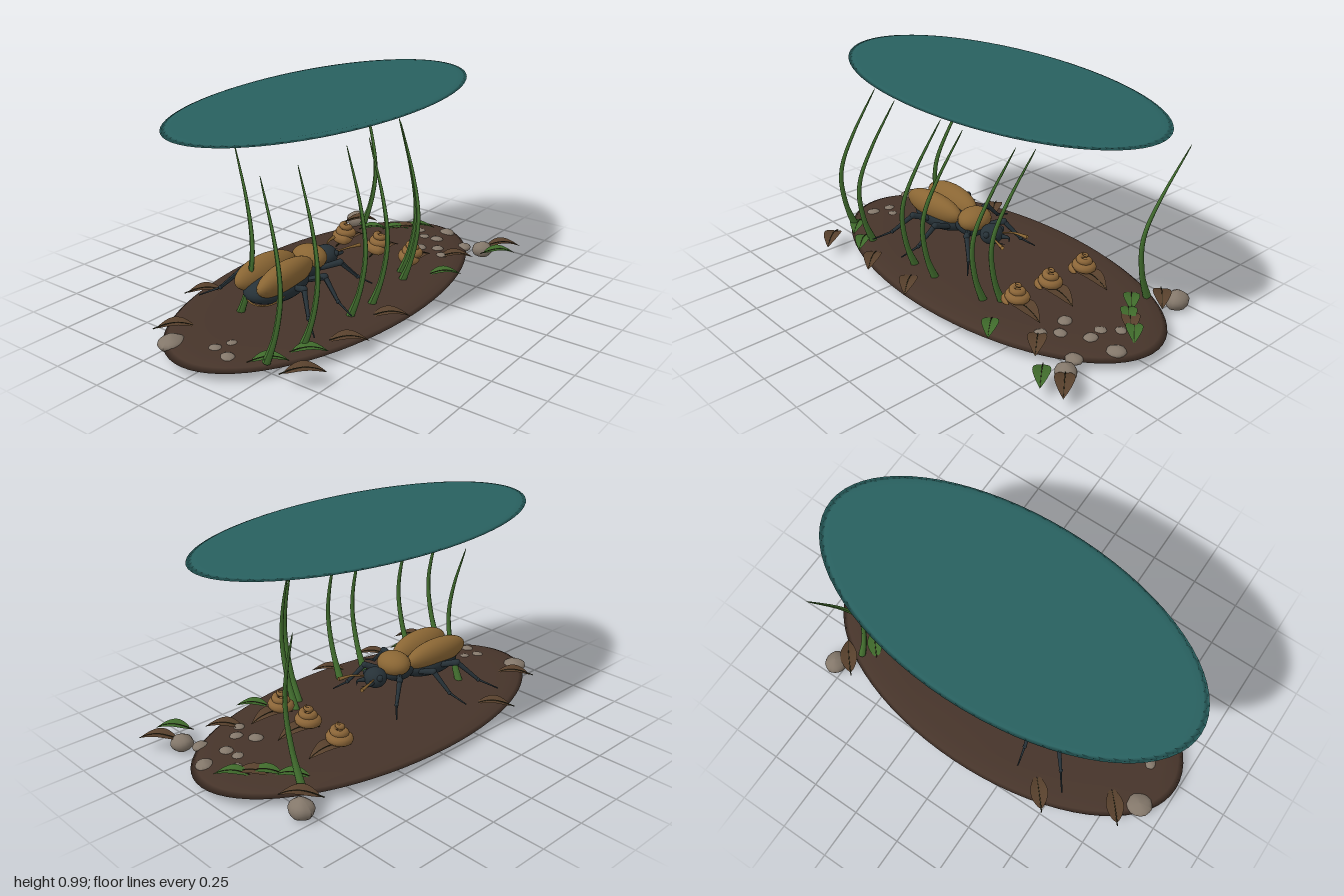
import * as THREE from 'three';

const CX = -0.03; // shared centre line of ground, water and beetle
const mat = (color) => new THREE.MeshStandardMaterial({ color, side: THREE.DoubleSide });
const M = {
  soil: mat(0x46342a), water: mat(0x28605f), grass: mat(0x43702f), shell: mat(0x8a6634), dark: mat(0x263137),
  dung: mat(0x8c6638), stone: mat(0x83776a), brown: mat(0x57402c), green: mat(0x3f6a2b), vein: mat(0x2c2a18),
};
const V = (p) => new THREE.Vector3(...p);

function add(parent, name, geo, material, pos = [0, 0, 0], scale = [1, 1, 1], rot = [0, 0, 0]) {
  const m = new THREE.Mesh(geo, material);
  m.name = name;
  m.position.set(...pos);
  m.scale.set(...scale);
  m.rotation.set(...rot);
  parent.add(m);
  return m;
}

// Tube along points whose radius follows radius(t)
function taper(points, radius, seg = 16, sides = 8) {
  const path = new THREE.CatmullRomCurve3(points.map(V));
  const geo = new THREE.TubeGeometry(path, seg, 1, sides);
  const p = geo.attributes.position, v = new THREE.Vector3();
  for (let i = 0; i < p.count; i++) {
    const t = Math.floor(i / (sides + 1)) / seg;
    const c = path.getPointAt(t);
    v.fromBufferAttribute(p, i).sub(c).multiplyScalar(Math.max(radius(t), 0.0005)).add(c);
    p.setXYZ(i, v.x, v.y, v.z);
  }
  geo.computeVertexNormals();
  return geo;
}

// Arched, pointed leaf along +x
function leafGeometry(length = 0.18, width = 0.085, arch = 0.025) {
  const geo = new THREE.PlaneGeometry(1, 1, 14, 6).rotateX(-Math.PI / 2);
  const p = geo.attributes.position;
  for (let i = 0; i < p.count; i++) {
    const t = p.getX(i) + 0.5, s = p.getZ(i) * 2;
    const w = Math.pow(Math.sin(Math.PI * Math.pow(t, 0.85)), 0.9) * width / 2 || 0;
    p.setXYZ(i, (t - 0.5) * length, arch * Math.sin(Math.PI * t) + Math.abs(s) * w * 0.2, s * w);
  }
  geo.computeVertexNormals();
  return geo;
}

const sphere = new THREE.SphereGeometry(1, 28, 18);
const ellipse = (profile) => new THREE.LatheGeometry(profile.map((p) => new THREE.Vector2(...p)), 72);

// Rounded stone with mild bumps
function stoneGeometry() {
  const geo = new THREE.SphereGeometry(1, 16, 12);
  const p = geo.attributes.position;
  for (let i = 0; i < p.count; i++) {
    const x = p.getX(i), y = p.getY(i), z = p.getZ(i);
    const k = 1 + 0.05 * Math.sin(4 * x + 2 * y) * Math.cos(5 * z);
    p.setXYZ(i, x * k, y * k, z * k);
  }
  geo.computeVertexNormals();
  return geo;
}

function beetle() {
  const g = new THREE.Group();
  g.name = 'beetle';
  add(g, 'abdomen', sphere, M.dark, [0, 0.2, 0.385], [0.118, 0.072, 0.185]);
  add(g, 'thorax', sphere, M.dark, [0, 0.21, 0.18], [0.07, 0.055, 0.09]);
  add(g, 'pronotum', sphere, M.shell, [0, 0.25, 0.15], [0.088, 0.058, 0.075]);
  add(g, 'head', sphere, M.dark, [0, 0.215, 0.025], [0.058, 0.05, 0.055]);
  // Bright seam around the rear of the abdomen
  const rim = [];
  for (let i = 0; i <= 12; i++) {
    const a = Math.PI * i / 12;
    rim.push([0.105 * Math.cos(a), 0.195 - 0.045 * Math.sin(a), 0.45 + 0.085 * Math.sin(a)]);
  }
  add(g, 'abdomenRim', taper(rim, () => 0.004, 30, 6), M.shell);

  // Hip, knee, ankle and claw of each leg on one side
  const legs = [
    [[0.05, 0.2, 0.14], [0.12, 0.225, 0.07], [0.17, 0.14, 0.0], [0.22, 0.1, -0.05]],
    [[0.07, 0.19, 0.26], [0.17, 0.23, 0.25], [0.26, 0.14, 0.27], [0.35, 0.105, 0.29]],
    [[0.07, 0.19, 0.36], [0.18, 0.23, 0.41], [0.26, 0.14, 0.48], [0.34, 0.1, 0.54]],
  ];
  for (const s of [-1, 1]) {
    add(g, 'wingCase', sphere, M.shell, [s * 0.057, 0.25, 0.39], [0.062, 0.077, 0.19], [0, s * 0.05, s * -0.35]);
    const flip = (p) => [p[0] * s, p[1], p[2]];
    for (const leg of legs) {
      const [hip, knee, ankle, claw] = leg.map(flip);
      const limb = new THREE.Group();
      limb.name = 'leg';
      const bone = (a, b, r0, r1) => {
        const mid = a.map((v, i) => (v + b[i]) / 2);
        add(limb, 'legSegment', taper([a, mid, b], (t) => r0 + (r1 - r0) * t, 6), M.dark);
      };
      bone(hip, knee, 0.013, 0.017);
      bone(knee, ankle, 0.013, 0.008);
      bone(ankle, claw, 0.006, 0.003);
      add(limb, 'knee', sphere, M.dark, knee, [0.016, 0.016, 0.016]);
      add(limb, 'ankle', sphere, M.dark, ankle, [0.01, 0.01, 0.01]);
      g.add(limb);
    }
    add(g, 'eye', sphere, M.dark, [s * 0.047, 0.23, 0.01], [0.016, 0.016, 0.016]);
    add(g, 'mandible', taper([[s * 0.025, 0.21, -0.02], [s * 0.037, 0.21, -0.055], [s * 0.012, 0.205, -0.085]],
      (t) => 0.013 * (1 - t)), M.dark);
    add(g, 'antenna', taper([[s * 0.03, 0.225, -0.015], [s * 0.06, 0.235, -0.07], [s * 0.08, 0.232, -0.14]],
      (t) => 0.004 + 0.006 * t * t), M.shell);
  }
  g.position.x = CX;
  return g;
}

// Coiled heap: one tapering spiral
function coilGeometry() {
  const pts = [], turns = 3.3;
  for (let i = 0; i <= 48; i++) {
    const t = i / 48, a = t * turns * Math.PI * 2, r = 0.047 * Math.pow(1 - t, 0.8);
    pts.push([r * Math.cos(a), 0.025 + 0.098 * t, r * Math.sin(a)]);
  }
  return taper(pts, (t) => Math.min(1, t * 12 + 0.1) * 0.028 * (1 - t * 0.6) * Math.min(1, (1 - t) * 10), 110, 10);
}

export function createModel() {
  const root = new THREE.Group();
  root.name = 'pondScene';

  // Ground slab and water sheet
  add(root, 'ground', ellipse([[0, 0.003], [0.5, 0.008], [0.82, 0.02], [0.95, 0.032], [1, 0.045], [0.97, 0.058],
    [0.9, 0.07], [0.75, 0.076], [0, 0.08]]), M.soil, [CX, 0, 0], [0.495, 1, 0.99]);
  add(root, 'waterSurface', ellipse([[0, 0.977], [0.88, 0.977], [0.95, 0.98], [1, 0.985], [0.97, 0.99],
    [0.93, 0.993], [0.88, 0.99], [0, 0.991]]), M.water, [CX, 0, 0], [0.46, 1, 0.94]);

  root.add(beetle());

  // Reeds: base x, z
  const reed = taper([[0, 0.07, 0], [0.028, 0.15, 0], [0.046, 0.22, -0.002], [0.063, 0.35, -0.008],
    [0.055, 0.45, -0.02], [0.01, 0.6, -0.05], [-0.085, 0.825, -0.1]],
  (t) => (t < 0.15 ? 0.017 - 0.03 * t : 0.0125) * Math.pow(1 - t, 0.6) + 0.001, 40, 8);
  for (const [x, z] of [[-0.335, -0.7], [-0.14, 0.51], [0.25, 0.78], [0.28, 0.58], [0.275, 0.24],
    [0.28, 0.08], [0.245, -0.225], [0.19, -0.29]]) add(root, 'reed', reed, M.grass, [x, 0, z], [1.15, 1, 1]);

  // Leaves
  const leaf = leafGeometry();
  const vein = taper([[-0.105, -0.002, 0], [-0.05, 0.019, 0], [0, 0.027, 0], [0.05, 0.019, 0], [0.09, 0.001, 0]],
    (t) => 0.003 * (1 - 0.7 * t), 12, 5);
  function addLeaf(x, y, z, material, turn = 0.72, size = 1) {
    const g = new THREE.Group();
    g.name = 'leaf';
    add(g, 'leafBlade', leaf, material);
    add(g, 'leafVein', vein, M.vein);
    g.position.set(x, y, z);
    g.rotation.y = turn;
    g.scale.setScalar(size);
    root.add(g);
  }
  for (const [x, z] of [[0.42, -0.91], [0.42, 0.74], [0.4, 0.42], [0.41, 0.12], [-0.38, -0.75], [-0.116, -0.79],
    [0.3, -0.63], [-0.27, 0.78], [-0.42, 0.44]]) addLeaf(x, 0.062, z, M.brown);
  for (const [x, z] of [[0.45, -0.81], [0.37, -0.41], [0.33, 0.6], [0.25, 0.76], [-0.065, -0.855], [-0.15, -0.75],
    [-0.25, -0.68]]) addLeaf(x, 0.066, z, M.green, 0.72, 0.9);

  // Coiled heaps, each resting on a leaf
  const coil = coilGeometry();
  for (const [x, z] of [[-0.23, -0.395], [-0.012, -0.39], [0.19, -0.385]]) {
    add(root, 'coiledHeap', coil, M.dung, [x, 0.092, z]);
    addLeaf(x, 0.085, z - 0.06, M.brown, 1.45, 1.15);
  }

  // Stones: x, y, z, radius
  const stone = stoneGeometry();
  [[-0.44, 0.048, -0.79, 0.06], [0.34, 0.048, -0.84, 0.053], [-0.2, 0.055, 0.88, 0.065], [0.09, 0.065, 0.84, 0.035],
    [0.0, 0.068, 0.82, 0.03], [0.03, 0.07, 0.75, 0.026], [0.09, 0.06, -0.89, 0.045], [0.107, 0.07, -0.76, 0.035],
    [-0.03, 0.068, -0.81, 0.03], [0.25, 0.05, -0.8, 0.04], [0.24, 0.07, -0.59, 0.03], [0.1, 0.075, -0.6, 0.036],
    [0.18, 0.072, -0.65, 0.032], [0.035, 0.07, -0.75, 0.03], [0.39, 0.045, -0.06, 0.045], [-0.42, 0.055, -0.1, 0.035],
  ].forEach(([x, y, z, r], i) =>
    add(root, 'stone', stone, M.stone, [x, y, z], [r, r * (i < 2 ? 0.75 : 0.5), r * 0.9], [0, i * 0.9, 0]));

  // Small stones showing on the underside
  for (const [x, z] of [[-0.25, -0.6], [0.1, -0.7], [0.2, -0.45], [0.02, 0.25], [-0.1, 0.7], [0.05, 0.72], [-0.3, 0.5]])
    add(root, 'pebble', stone, M.stone, [x, 0.022, z], [0.028, 0.014, 0.022]);

  return root;
}
